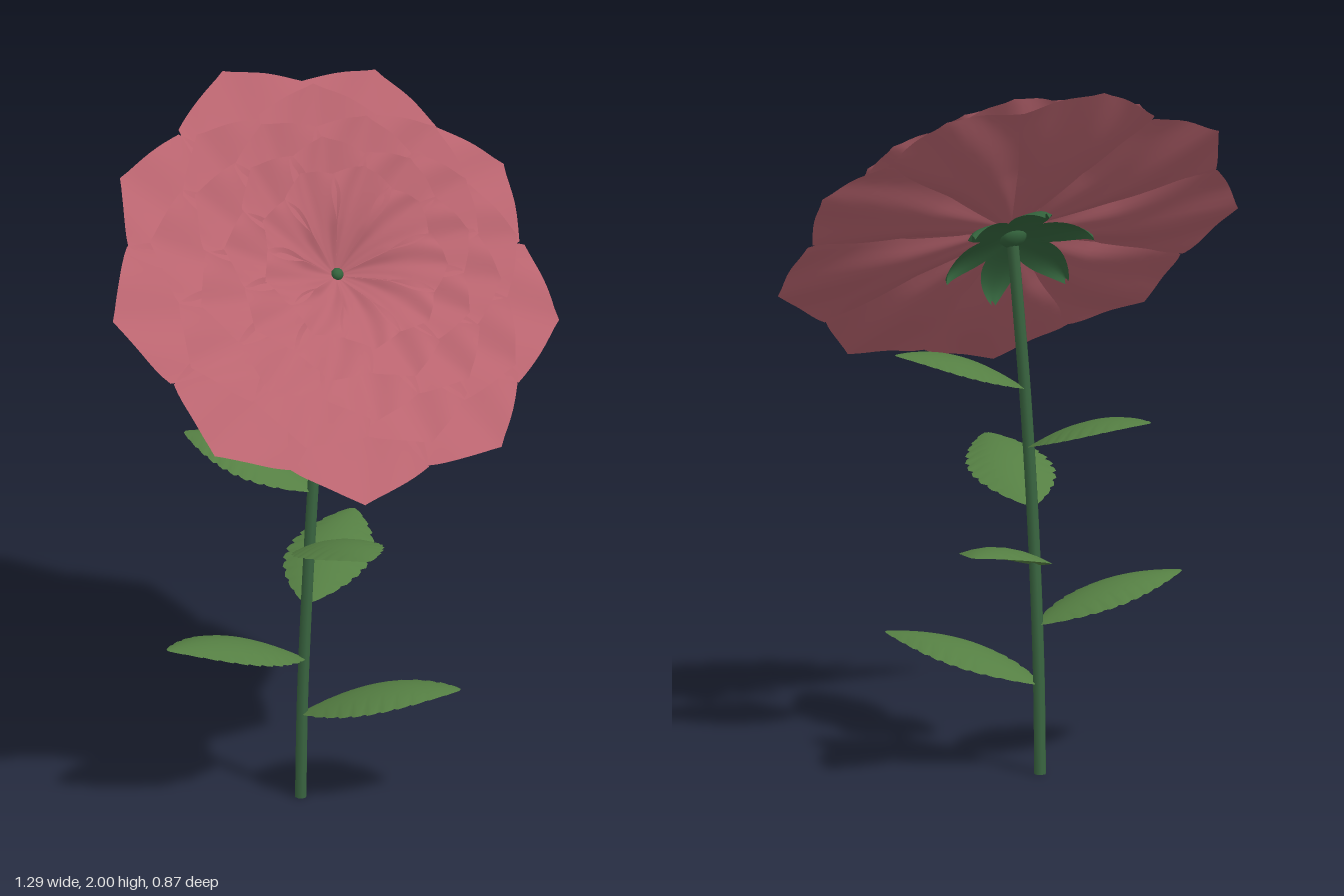
import * as THREE from 'three';

const rad = THREE.MathUtils.degToRad;

// Curved sheet: fn(t, s) -> [x, y, z] with t in 0..1 along and s in -1..1 across
function sheet(nt, ns, fn) {
  const pos = [], idx = [];
  for (let i = 0; i <= nt; i++)
    for (let j = 0; j <= ns; j++) pos.push(...fn(i / nt, (j / ns) * 2 - 1, i));
  for (let i = 0; i < nt; i++)
    for (let j = 0; j < ns; j++) {
      const a = i * (ns + 1) + j, b = a + ns + 1;
      idx.push(a, b, a + 1, b, b + 1, a + 1);
    }
  const g = new THREE.BufferGeometry();
  g.setAttribute('position', new THREE.Float32BufferAttribute(pos, 3));
  g.setIndex(idx);
  g.computeVertexNormals();
  return g;
}

// Broad, lightly cupped petal: straight shoulders up to a pointed tip and
// sides that overlap the neighbours near the rim
function petalGeometry({ R, base, tip, belly, cup }) {
  return sheet(22, 16, (t, s) => {
    const overlap = t > 0.45 ? 3.8 * Math.sin((Math.PI * (t - 0.45)) / 0.55) : 0;
    const degrees = s * (20.3 + overlap);
    const point = 1 - 0.11 * Math.pow(Math.min(1.1, Math.abs(degrees) / 20), 0.8) * t;
    const r = 0.012 + (R - 0.012) * t * point;
    const a = rad(degrees);
    const y = base + (tip - base) * t - belly * Math.sin(Math.PI * t)
      + cup * s * s * Math.sin(Math.PI * Math.pow(t, 1.3))
      + 0.004 * Math.sin(s * 7 + t * 5) * t;
    return [r * Math.sin(a), y, r * Math.cos(a)];
  });
}

// Arched leaf with a toothed edge
function leafGeometry(length) {
  return sheet(44, 6, (t, s, i) => {
    const tooth = i % 4 === 0 ? 0.93 : 1 + 0.02 * (3 - (i % 4));
    const edge = Math.abs(s) > 0.9 ? tooth : 1;
    const w = 0.006 + 0.112 * Math.pow(Math.sin(Math.PI * Math.pow(t, 0.92)), 0.85) * edge;
    const arch = 0.112 * (2 * t - t * t) + 0.012 * Math.sin(Math.PI * t);
    return [s * w, arch - 0.03 * s * s * Math.sin(Math.PI * t), length * t];
  });
}

export function createModel() {
  const material = (name, color) => {
    const m = new THREE.MeshStandardMaterial({ color, side: THREE.DoubleSide });
    m.name = name;
    return m;
  };
  const pink = material('petal pink', 0xb9646f);
  const leafGreen = material('leaf green', 0x557f43);
  const stemGreen = material('stem green', 0x3a6641);
  const sepalGreen = material('sepal green', 0x34643d);

  const model = new THREE.Group();
  model.name = 'flower';
  const add = (parent, name, geometry, mat) => {
    const mesh = new THREE.Mesh(geometry, mat);
    mesh.name = name;
    parent.add(mesh);
    return mesh;
  };

  // Gently bent stem
  const path = new THREE.CatmullRomCurve3([
    [-0.08, 0, -0.05], [-0.078, 0.3, -0.04], [-0.066, 0.7, -0.025],
    [-0.045, 1.05, -0.025], [-0.022, 1.32, -0.033], [-0.004, 1.51, -0.04],
  ].map((p) => new THREE.Vector3(...p)));
  add(model, 'stem', new THREE.TubeGeometry(path, 30, 0.0165, 8), stemGreen);
  const foot = add(model, 'stemEnd', new THREE.CircleGeometry(0.0165, 8), stemGreen);
  foot.rotation.x = Math.PI / 2;
  foot.position.set(-0.08, 0.001, -0.05);

  // Leaves spiral up the stem by the golden angle
  for (let i = 0; i < 6; i++) {
    const y = 0.25 + 0.166 * i;
    const leaf = add(model, 'leaf', leafGeometry(0.443 - 0.016 * i), leafGreen);
    leaf.position.copy(path.getPoint(0));
    for (let k = 0; k <= 200; k++) {
      const p = path.getPoint(k / 200);
      if (p.y <= y) leaf.position.copy(p);
    }
    leaf.position.y = y;
    leaf.rotation.y = rad(57.5 - 137.5 * i);
  }

  // Flower head tilted forward and a little sideways; its own y axis is the facing direction
  const head = new THREE.Group();
  head.name = 'flowerHead';
  head.position.set(0, 1.55, 0);
  head.rotation.set(rad(47.3), 0, rad(-5));
  model.add(head);

  // Petal rows from the outermost to the central cup
  const rows = [
    { R: 0.66, base: -0.035, tip: -0.03, belly: 0.025, cup: 0.025, turn: -5 },
    { R: 0.55, base: -0.02, tip: 0.045, belly: 0.025, cup: 0.025, turn: 15 },
    { R: 0.46, base: -0.005, tip: 0.095, belly: 0.015, cup: 0.025, turn: -2 },
    { R: 0.37, base: 0.008, tip: 0.135, belly: 0.005, cup: 0.022, turn: 18 },
    { R: 0.275, base: 0.02, tip: 0.16, belly: -0.01, cup: 0.015, turn: 0 },
  ];
  rows.forEach((row, k) => {
    const geometry = petalGeometry(row);
    for (let i = 0; i < 9; i++) {
      const petal = add(head, 'petal', geometry, pink);
      const wobble = Math.sin(i * 2.4 + k * 1.7);
      petal.rotation.y = rad(row.turn + 40 * i + wobble);
      petal.scale.setScalar(1 - 0.01 * (1 + wobble));
    }
  });

  // Green heart of the bloom
  const heart = add(head, 'heart', new THREE.SphereGeometry(0.018, 10, 8), sepalGreen);
  heart.position.y = 0.022;

  // Cup and drooping sepals behind the petals
  const cup = add(head, 'calyx', new THREE.SphereGeometry(0.04, 14, 10), sepalGreen);
  cup.position.y = -0.055;
  cup.scale.y = 0.7;
  const sepal = sheet(14, 6, (t, s) => {
    const w = 0.006 + 0.048 * Math.pow(Math.sin(Math.PI * Math.min(1, 0.1 + t * 0.9)), 0.9);
    return [s * w, -0.06 - 0.03 * t - 0.035 * t ** 4 - 0.015 * s * s * t, 0.02 + 0.21 * t - 0.02 * t ** 6];
  });
  for (let i = 0; i < 6; i++) {
    add(head, 'sepal', sepal, sepalGreen).rotation.y = rad(12 + 60 * i);
  }
  return model;
}
